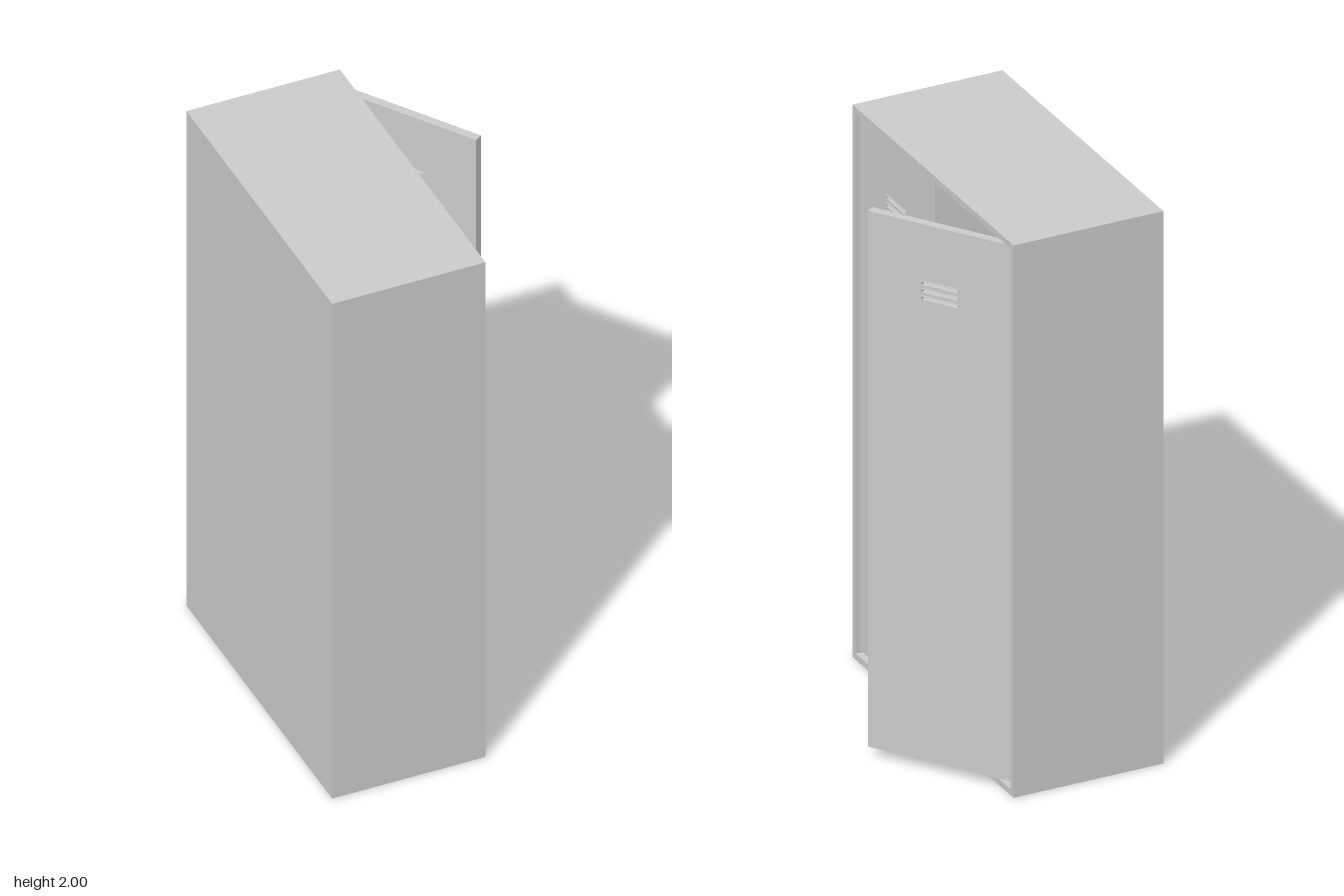
import * as THREE from 'three';

const grey = new THREE.MeshStandardMaterial({ color: 0xcccccc });

const X0 = -0.415, X1 = 0.13, H = 2, HALF = 0.572, WALL = 0.022;
const DOOR_W = 0.535, DOOR_Y0 = 0.035, DOOR_Y1 = 1.975, DOOR_T = 0.03;
const SLOT_W = 0.137, SLOT_H = 0.014, SLOT_Y = [1.709, 1.736, 1.763];

function rectPath(Type, x0, y0, x1, y1) {
  const p = new Type();
  p.moveTo(x0, y0);
  p.lineTo(x1, y0);
  p.lineTo(x1, y1);
  p.lineTo(x0, y1);
  p.closePath();
  return p;
}

// Extrudes a shape drawn in (z, y) so that it runs from x = 0 towards -x
function panel(shape, depth) {
  return new THREE.ExtrudeGeometry(shape, { depth, bevelEnabled: false }).rotateY(-Math.PI / 2);
}

function addMesh(parent, name, geometry) {
  const m = new THREE.Mesh(geometry, grey);
  m.name = name;
  parent.add(m);
  return m;
}

// Door leaf hinged at its local origin, with three rimmed vent slots
function makeDoor(name) {
  const door = new THREE.Group();
  door.name = name;
  const slot = (Type, y, inset) => rectPath(Type,
    (DOOR_W - SLOT_W) / 2 + inset, y - SLOT_H / 2 + inset,
    (DOOR_W + SLOT_W) / 2 - inset, y + SLOT_H / 2 - inset);

  const leaf = rectPath(THREE.Shape, 0, DOOR_Y0, DOOR_W, DOOR_Y1);
  for (const y of SLOT_Y) leaf.holes.push(slot(THREE.Path, y, 0));
  addMesh(door, 'doorLeaf', panel(leaf, DOOR_T));

  for (const y of SLOT_Y) {
    const rim = slot(THREE.Shape, y, 0);
    rim.holes.push(slot(THREE.Path, y, 0.002));
    addMesh(door, 'ventRim', panel(rim, DOOR_T + 0.005)).position.x = 0.005;
  }
  return door;
}

export function createModel() {
  const model = new THREE.Group();
  model.name = 'locker';

  // Hollow body open towards +x, closed by a back panel
  const body = rectPath(THREE.Shape, -HALF, 0, HALF, H);
  body.holes.push(rectPath(THREE.Path, -HALF + WALL, WALL, HALF - WALL, H - WALL));
  addMesh(model, 'bodyWalls', panel(body, X1 - X0)).position.x = X1;
  const back = new THREE.BoxGeometry(WALL, H - 2 * WALL, 2 * (HALF - WALL));
  addMesh(model, 'backPanel', back).position.set(X0 + WALL / 2, H / 2, 0);

  // Closed door
  const closed = makeDoor('closedDoor');
  closed.position.set(0.117, 0, 0.011);
  model.add(closed);

  // Door swung open
  const open = makeDoor('openDoor');
  open.position.set(0.111, 0, -0.531);
  open.rotation.y = 0.6;
  model.add(open);

  return model;
}
